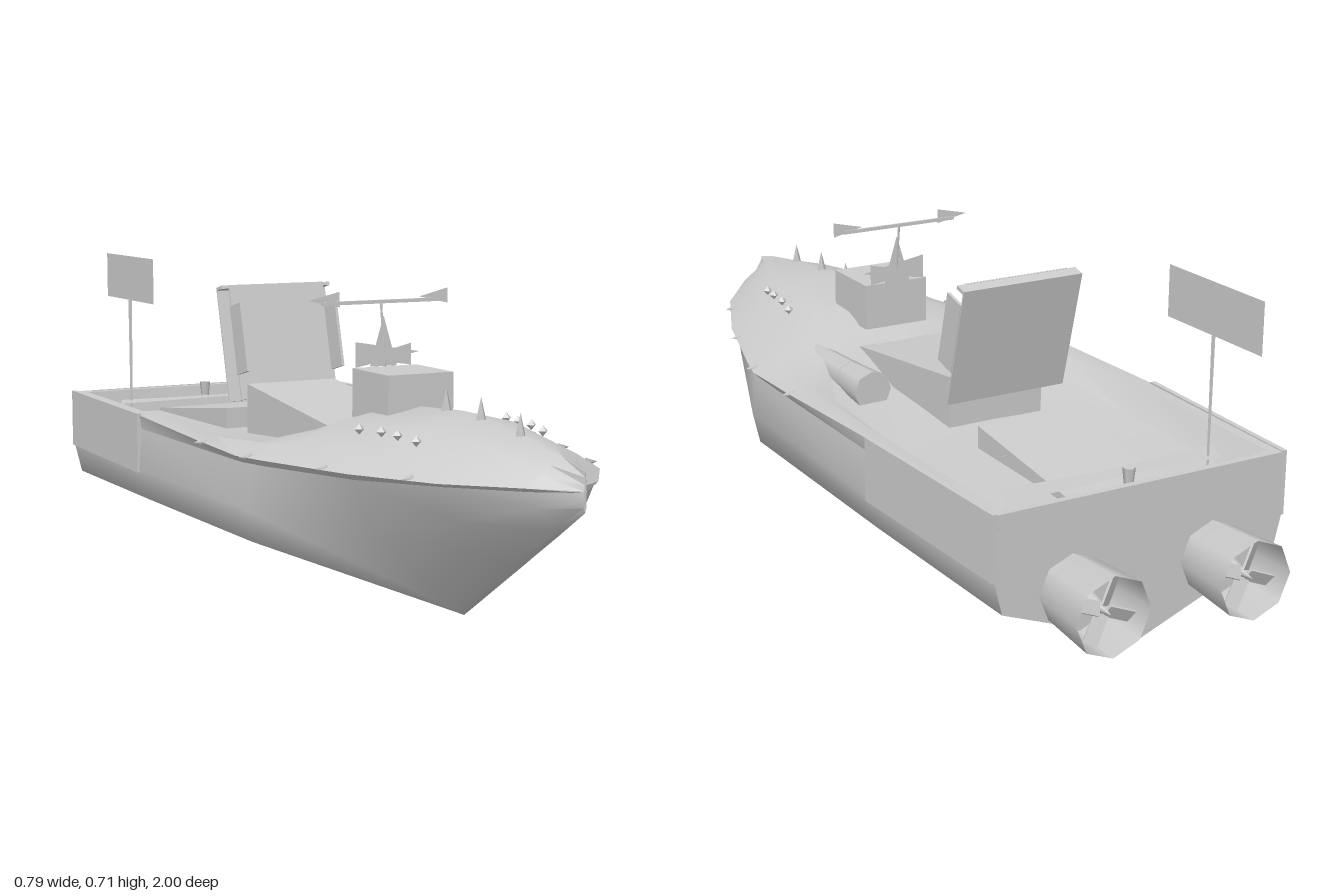
import * as THREE from 'three';
import { toCreasedNormals } from 'three/addons/utils/BufferGeometryUtils.js';

const grey = new THREE.MeshStandardMaterial({ color: 0xcccccc, side: THREE.DoubleSide });

export function createModel() {
  const root = new THREE.Group();
  const add = (name, geo, x = 0, y = 0, z = 0, rx = 0, ry = 0, rz = 0, parent = root) => {
    const m = new THREE.Mesh(geo, grey);
    m.name = name;
    m.position.set(x, y, z);
    m.rotation.set(rx, ry, rz);
    parent.add(m);
    return m;
  };
  // Skin through mirrored half sections: rows of { z, p: edge to centre }, first = side to start on
  const loft = (rows, first, crease) => {
    const pos = [], idx = [], n = rows[0].p.length * 2 - 1;
    for (const { z, p } of rows) {
      for (const [x, y] of p) pos.push(first * x, y, z);
      for (const [x, y] of p.slice(0, -1).reverse()) pos.push(-first * x, y, z);
    }
    for (let i = 0; i < rows.length - 1; i++) for (let j = 0; j < n - 1; j++) {
      const a = i * n + j, b = a + n;
      idx.push(a, b, a + 1, a + 1, b, b + 1);
    }
    const g = new THREE.BufferGeometry();
    g.setAttribute('position', new THREE.Float32BufferAttribute(pos, 3));
    g.setIndex(idx);
    return toCreasedNormals(g, crease);
  };
  // Flat plate from a short outline
  const plate = pts => new THREE.ShapeGeometry(new THREE.Shape(pts.map(p => new THREE.Vector2(...p))));

  // Hull: sheer, side bulge, chine, keel; the chine runs into the keel at the forefoot
  const hullRows = [
    { z: -0.85, p: [[0.345, 0.31], [0.355, 0.21], [0.335, 0.13], [0, 0]] },
    { z: -0.35, p: [[0.365, 0.31], [0.372, 0.21], [0.35, 0.135], [0, 0]] },
    { z: 0.25, p: [[0.36, 0.31], [0.37, 0.21], [0.353, 0.137], [0, 0]] },
    { z: 0.56, p: [[0.27, 0.315], [0.225, 0.21], [0.02, 0.012], [0, 0]] },
    { z: 0.77, p: [[0.18, 0.325], [0.14, 0.25], [0.02, 0.152], [0, 0.14]] },
    { z: 0.92, p: [[0.075, 0.33], [0.058, 0.295], [0.012, 0.25], [0, 0.24]] },
    { z: 1, p: [[0.003, 0.335], [0.003, 0.32], [0.003, 0.305], [0, 0.295]] },
  ];
  add('hull', loft(hullRows, 1, 1.25));

  // Deck: sheer, gunwale lip, inner edge, slope, centre line
  const deckRows = [
    { z: -0.85, p: [[0.345, 0.31], [0.35, 0.345], [0.325, 0.345], [0.28, 0.343], [0, 0.343]] },
    { z: -0.83, p: [[0.347, 0.31], [0.351, 0.345], [0.325, 0.345], [0.28, 0.343], [0, 0.343]] },
    { z: -0.82, p: [[0.348, 0.31], [0.352, 0.345], [0.325, 0.345], [0.285, 0.283], [0, 0.283]] },
    { z: -0.35, p: [[0.365, 0.31], [0.37, 0.343], [0.335, 0.343], [0.29, 0.288], [0, 0.29]] },
    { z: 0, p: [[0.365, 0.31], [0.378, 0.332], [0.325, 0.335], [0.275, 0.308], [0, 0.315]] },
    { z: 0.22, p: [[0.363, 0.31], [0.378, 0.325], [0.3, 0.347], [0.18, 0.37], [0, 0.385]] },
    { z: 0.3, p: [[0.343, 0.31], [0.358, 0.325], [0.27, 0.355], [0.15, 0.4], [0, 0.425]] },
    { z: 0.56, p: [[0.27, 0.315], [0.285, 0.328], [0.21, 0.365], [0.12, 0.41], [0, 0.437]] },
    { z: 0.77, p: [[0.18, 0.325], [0.197, 0.333], [0.14, 0.367], [0.08, 0.397], [0, 0.418]] },
    { z: 0.92, p: [[0.075, 0.33], [0.087, 0.338], [0.055, 0.36], [0.03, 0.38], [0, 0.394]] },
    { z: 1, p: [[0.003, 0.335], [0.003, 0.338], [0.002, 0.35], [0.001, 0.365], [0, 0.375]] },
  ];
  add('deck', loft(deckRows, -1, 0.75));

  // Transom
  const half = [[0, 0], [0.335, 0.13], [0.355, 0.21], [0.345, 0.31], [0.35, 0.345]];
  const mirrored = half.slice(1).reverse().map(([x, y]) => [-x, y]);
  add('transom', plate([...half, ...mirrored]), 0, 0, -0.85, 0, Math.PI);

  // Engine hood in front of the screen, and stern ramp behind it
  const wedge = (w, z0, y0, z1, y1, base) => {
    const s = new THREE.Shape([[z0, base], [z1, base], [z1, y1], [z0, y0]].map(p => new THREE.Vector2(...p)));
    return new THREE.ExtrudeGeometry(s, { depth: w, bevelEnabled: false }).rotateY(-Math.PI / 2).translate(w / 2, 0, 0);
  };
  add('engineHood', wedge(0.24, -0.265, 0.415, 0.17, 0.365, 0.29));
  add('sternRamp', wedge(0.24, -0.82, 0.29, -0.39, 0.34, 0.28));
  add('sternBench', plate([[-0.28, -0.04], [-0.25, 0.035], [0, 0.02], [0.28, 0.035], [0.25, -0.04], [0, -0.02]]),
    0, 0.325, -0.735, -Math.PI / 2);

  // Raked screen with two sheets, top rail and side wings
  const screen = new THREE.Group();
  screen.name = 'screen';
  screen.position.set(0, 0.51, -0.328);
  screen.rotation.x = -0.25;
  root.add(screen);
  add('frontSheet', new THREE.BoxGeometry(0.26, 0.285, 0.004), 0, 0, 0.015, 0, 0, 0, screen);
  add('rearSheet', new THREE.BoxGeometry(0.3, 0.285, 0.004), 0, 0, -0.014, 0, 0, 0, screen);
  add('topRail', new THREE.BoxGeometry(0.3, 0.008, 0.03), 0, 0.138, 0, 0, 0, 0, screen);
  for (const s of [-1, 1])
    add('sideWing', new THREE.BoxGeometry(0.007, 0.17, 0.06), s * 0.13, 0.004, 0.045, 0, 0, 0, screen);

  // Gun box with flat crest and crossing bolt
  add('gunBox', new THREE.BoxGeometry(0.165, 0.11, 0.165), 0, 0.445, 0.29);
  add('crestSpike', plate([[-0.035, 0.5], [0.035, 0.5], [0, 0.615]]), 0, 0, 0.203);
  add('crestLeft', plate([[-0.075, 0.5], [0.09, 0.53], [-0.075, 0.558]]), 0, 0, 0.209);
  add('crestRight', plate([[0.07, 0.5], [0.07, 0.55], [-0.06, 0.52]]), 0, 0, 0.206);
  add('boltShaft', new THREE.BoxGeometry(0.3, 0.008, 0.006), 0, 0.645, 0.19);
  add('boltHead', plate([[-0.185, 0.653], [-0.105, 0.636], [-0.105, 0.671]]), 0, 0, 0.19);
  add('boltTail', plate([[0.1, 0.653], [0.175, 0.636], [0.175, 0.671]]), 0, 0, 0.19);
  add('boltStay', new THREE.CylinderGeometry(0.003, 0.003, 0.15, 4), 0, 0.572, 0.2, -0.13);

  // Stepped canister on the left side deck: front radius, back radius, length, z
  [[0.033, 0.036, 0.1, 0.18], [0.036, 0.04, 0.08, 0.09], [0.039, 0.047, 0.11, -0.005]].forEach(([a, b, h, z]) =>
    add('canister', new THREE.CylinderGeometry(a, b, h, 8), 0.205, 0.335, z, Math.PI / 2));

  // Mast and pennant
  add('mast', plate([[-0.003, 0.3], [0.003, 0.3], [0.005, 0.59], [0, 0.6], [-0.005, 0.59]]), -0.23, 0, -0.75);
  add('flag', new THREE.PlaneGeometry(0.32, 0.115), -0.23, 0.648, -0.75, 0, Math.PI / 2);

  // Deck spikes along the centre line
  for (const [y, z] of [[0.435, 0.77], [0.45, 0.62], [0.455, 0.48]])
    add('deckSpike', new THREE.ConeGeometry(0.014, 0.055, 4), 0, y, z);

  for (const s of [-1, 1]) {
    // Stern armour plate
    add('sidePlate', new THREE.BoxGeometry(0.012, 0.145, 0.5), s * 0.362, 0.275, -0.6, 0, s * 0.036);

    // Gunwale spikes pointing outward
    for (const [x, y, z] of [[0.225, 0.335, 0.7], [0.305, 0.33, 0.48], [0.37, 0.327, 0.25], [0.378, 0.33, 0.03]])
      add('gunwaleSpike', new THREE.ConeGeometry(0.01, 0.03, 4), s * x, y, z, 0, 0, -s * Math.PI / 2);

    // Foredeck studs
    for (const [x, y, z] of [[0.185, 0.398, 0.43], [0.17, 0.4, 0.5], [0.165, 0.4, 0.56], [0.155, 0.395, 0.62]])
      add('deckStud', new THREE.OctahedronGeometry(0.012), s * x, y, z);

    // Ducted propeller
    const motor = new THREE.Group();
    motor.name = 'motor';
    motor.position.set(s * 0.172, 0.15, -0.92);
    root.add(motor);
    add('duct', new THREE.CylinderGeometry(0.077, 0.088, 0.16, 8, 1, true), 0, 0, 0, Math.PI / 2, 0, 0, motor);
    add('ductFront', new THREE.CircleGeometry(0.08, 8), 0, 0, 0.04, 0, 0, 0, motor);
    add('hub', new THREE.ConeGeometry(0.025, 0.1, 8), 0, 0, -0.02, -Math.PI / 2, 0, 0, motor);
    for (let i = 0; i < 4; i++) {
      const arm = new THREE.Group();
      arm.name = 'bladeArm';
      arm.rotation.z = i * Math.PI / 2 + 0.4;
      motor.add(arm);
      add('blade', new THREE.BoxGeometry(0.03, 0.065, 0.005), 0, 0.042, -0.04, 0, 0.5, 0, arm);
    }
  }
  add('sternCleat', new THREE.CylinderGeometry(0.014, 0.01, 0.035, 6), 0, 0.34, -0.79);
  return root;
}
